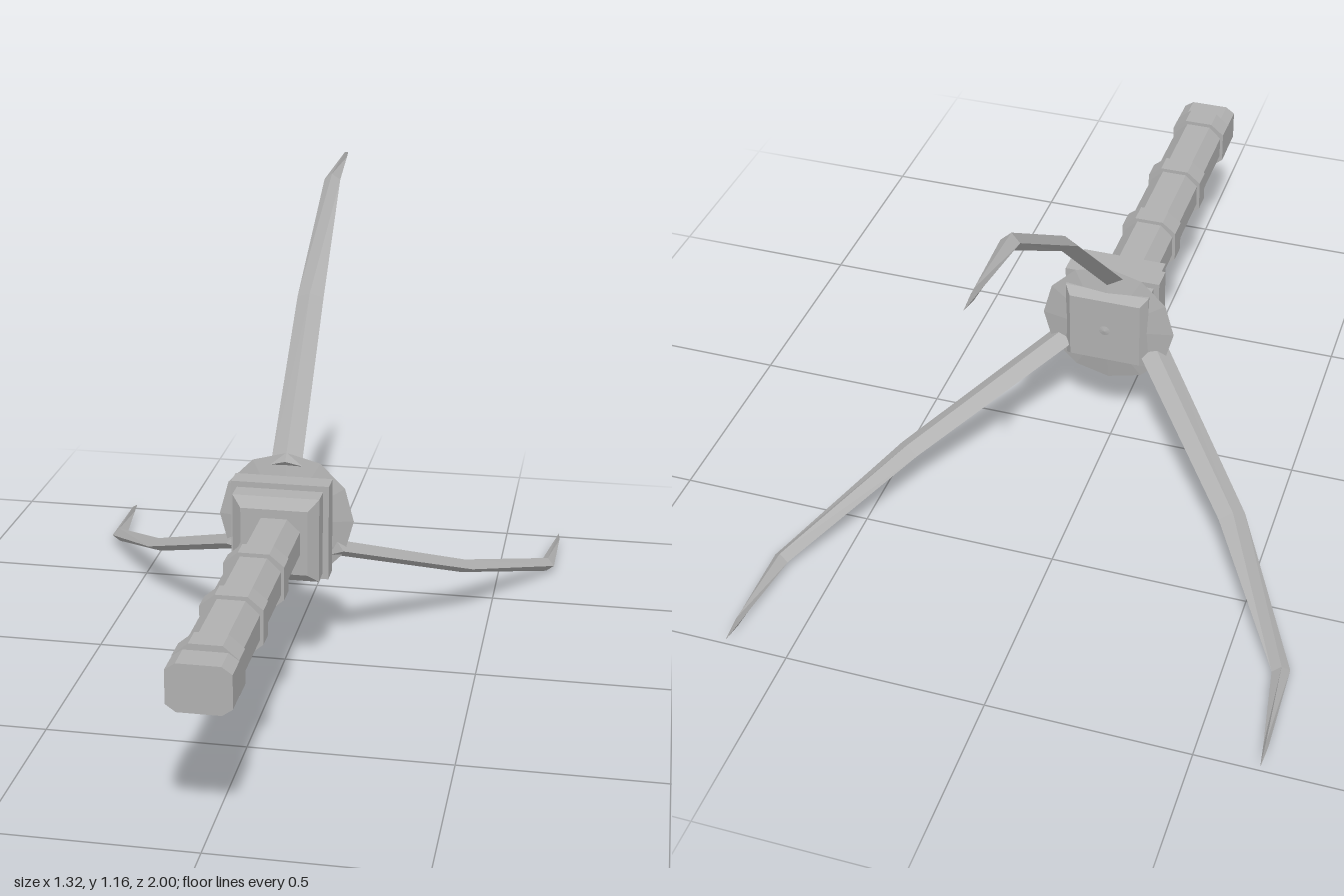
import * as THREE from 'three';

const AXIS_Y = 0.396; // height of the handle axis
const metal = new THREE.MeshStandardMaterial({ color: 0xb0b0b0, flatShading: true });
metal.name = 'grey metal';

// Skin a list of equal-length loops, closing both ends
function loft(loops) {
  const pos = [];
  const tri = (...pts) => pts.forEach((p) => pos.push(p.x, p.y, p.z));
  const n = loops[0].length;
  for (let k = 0; k < loops.length - 1; k++) {
    const a = loops[k], b = loops[k + 1];
    for (let i = 0; i < n; i++) {
      const j = (i + 1) % n;
      tri(a[i], a[j], b[j]);
      tri(a[i], b[j], b[i]);
    }
  }
  const first = loops[0], last = loops[loops.length - 1];
  for (let i = 1; i < n - 1; i++) {
    tri(first[0], first[i + 1], first[i]);
    tri(last[0], last[i], last[i + 1]);
  }
  const g = new THREE.BufferGeometry();
  g.setAttribute('position', new THREE.Float32BufferAttribute(pos, 3));
  g.computeVertexNormals();
  return g;
}

// Octagon with half sizes w, h and flats reaching to cx, cy
const octagon = (z, w, h, cx, cy) =>
  [[w, -cy], [w, cy], [cx, h], [-cx, h], [-w, cy], [-w, -cy], [-cx, -h], [cx, -h]]
    .map(([x, y]) => new THREE.Vector3(x, y, z));

const square = (z, s) =>
  [[s, -s], [s, s], [-s, s], [-s, -s]].map(([x, y]) => new THREE.Vector3(x, y, z));

export function createModel() {
  const model = new THREE.Group();
  model.name = 'threeProngedTool';
  const add = (geometry, name) => {
    const m = new THREE.Mesh(geometry, metal);
    m.name = name;
    m.position.y = AXIS_Y;
    model.add(m);
    return m;
  };

  // Handle shaft with raised bands and a clipped end
  const shaft = [0.14, 0.9].map((z) => octagon(z, 0.066, 0.062, 0.033, 0.03));
  add(loft(shaft), 'handleShaft');
  [[0.355, 0.41], [0.61, 0.665], [0.87, 0.93]].forEach(([z0, z1], i) => {
    const band = [z0, z1].map((z) => octagon(z, 0.074, 0.072, 0.038, 0.042));
    add(loft(band), 'handleBand' + (i + 1));
  });
  const end = [0.92, 1].map((z) => octagon(z, 0.074, 0.057, 0.05, 0.04));
  add(loft(end), 'handleEnd');

  // Square hub: bevelled block with a wider collar
  const hub = [[-0.053, 0.093], [-0.03, 0.11], [0.015, 0.11], [0.015, 0.125],
    [0.073, 0.125], [0.073, 0.11], [0.128, 0.11], [0.153, 0.085]];
  add(loft(hub.map(([z, s]) => square(z, s))), 'hub');

  // Thin twelve-sided guard, sharp at the rim
  const profile = [[0, -0.036], [0.175, 0], [0, 0.036]].map(([r, z]) => new THREE.Vector2(r, z));
  const guard = new THREE.LatheGeometry(profile, 12);
  guard.rotateX(Math.PI / 2);
  add(guard, 'guardDisc').position.z = -0.02;

  // Prongs: [distance from axis, z, half width, half thickness]
  const stations = [
    [0.143, -0.015, 0.04, 0.02],
    [0.492, -0.37, 0.035, 0.018],
    [0.736, -0.718, 0.022, 0.019],
    [0.756, -0.94, 0.006, 0.014],
    [0.758, -0.997, 0.0005, 0.0005],
  ];
  const up = new THREE.Vector3(0, 1, 0);
  [['topProng', 90], ['leftProng', -30], ['rightProng', 210]].forEach(([name, deg]) => {
    const a = THREE.MathUtils.degToRad(deg);
    const path = stations.map(([r, z]) => new THREE.Vector3(r * Math.cos(a), r * Math.sin(a), z));
    const loops = path.map((p, i) => {
      const before = path[Math.max(i - 1, 0)], after = path[Math.min(i + 1, path.length - 1)];
      const dir = after.clone().sub(before).normalize();
      // the wide axis of the diamond section stays horizontal
      const side = dir.clone().cross(up).normalize();
      const thin = dir.clone().cross(side);
      const [, , w, t] = stations[i];
      return [[w, 0], [0, t], [-w, 0], [0, -t]].map(([s, u]) =>
        p.clone().addScaledVector(side, s).addScaledVector(thin, u));
    });
    add(loft(loops), name);
  });
  return model;
}
